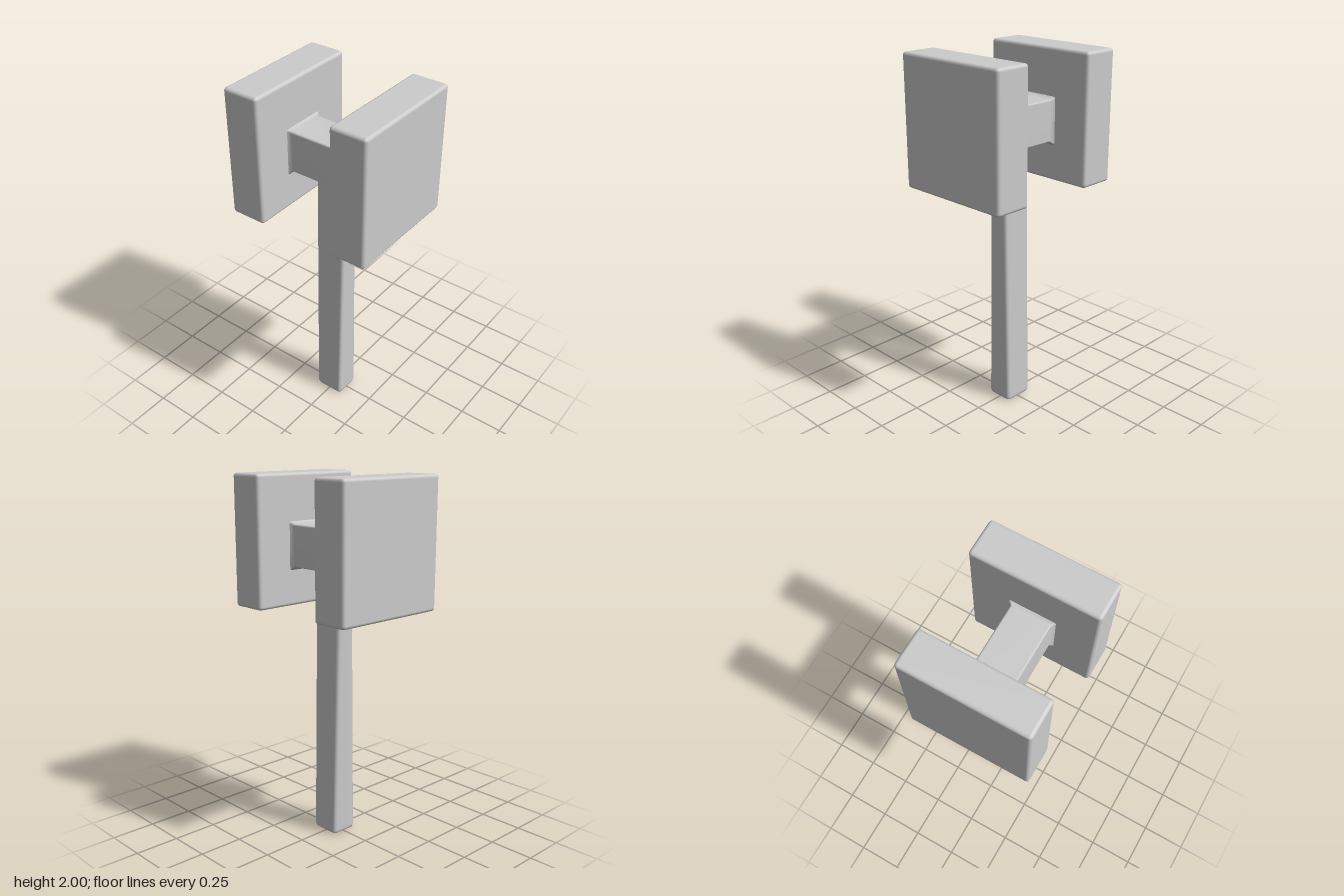
import * as THREE from 'three';
import { RoundedBoxGeometry } from 'three/addons/geometries/RoundedBoxGeometry.js';

const material = new THREE.MeshStandardMaterial({ color: 0xcccccc });

// Corner-rounded rectangle as a ring of points at height y
function ring(y, halfX, halfZ, r, steps = 2) {
  const points = [];
  for (let corner = 0; corner < 4; corner++) {
    const sx = corner === 0 || corner === 3 ? 1 : -1;
    const sz = corner < 2 ? 1 : -1;
    for (let i = 0; i <= steps; i++) {
      const a = (corner + i / steps) * Math.PI / 2;
      points.push([sx * (halfX - r) + Math.cos(a) * r, y, sz * (halfZ - r) + Math.sin(a) * r]);
    }
  }
  return points;
}

// Closed solid through sections [y, halfX, halfZ, cornerRadius], bottom to top
function loft(sections) {
  const rings = sections.map((s) => ring(...s));
  const n = rings[0].length;
  const positions = rings.flat(2);
  const index = [];
  for (let k = 0; k < rings.length - 1; k++) {
    for (let i = 0; i < n; i++) {
      const a = k * n + i, b = k * n + (i + 1) % n;
      index.push(a, a + n, b, b, a + n, b + n);
    }
  }
  const top = (rings.length - 1) * n;
  for (let i = 1; i < n - 1; i++) {
    index.push(0, i, i + 1, top, top + i + 1, top + i);
  }
  const geometry = new THREE.BufferGeometry();
  geometry.setAttribute('position', new THREE.Float32BufferAttribute(positions, 3));
  geometry.setIndex(index);
  geometry.computeVertexNormals();
  return geometry;
}

function addMesh(group, name, geometry) {
  const mesh = new THREE.Mesh(geometry, material);
  mesh.name = name;
  group.add(mesh);
  return mesh;
}

export function createModel() {
  const group = new THREE.Group();
  group.name = 'mallet';

  // Two square striking blocks
  for (const side of [1, -1]) {
    const head = addMesh(group, side > 0 ? 'frontHead' : 'backHead',
      new RoundedBoxGeometry(0.684, 0.714, 0.208, 2, 0.018));
    head.position.set(0, 1.643, side * 0.316);
  }

  // Crossbar between the blocks, flared where it meets them
  const neck = addMesh(group, 'neck', loft([
    [-0.225, 0.128, 0.131, 0.01],
    [-0.212, 0.128, 0.131, 0.01],
    [-0.197, 0.111, 0.116, 0.01],
    [0.197, 0.111, 0.116, 0.01],
    [0.212, 0.128, 0.131, 0.01],
    [0.225, 0.128, 0.131, 0.01],
  ]));
  neck.rotation.x = Math.PI / 2;
  neck.position.y = 1.614;

  // Handle, thinner from the front toward the top, with a flared joint
  addMesh(group, 'handle', loft([
    [0, 0.062, 0.07, 0.012],
    [0.006, 0.072, 0.08, 0.016],
    [0.022, 0.077, 0.085, 0.018],
    [1.47, 0.052, 0.09, 0.018],
    [1.485, 0.054, 0.092, 0.018],
    [1.5, 0.066, 0.104, 0.018],
    [1.52, 0.066, 0.104, 0.018],
  ]));

  return group;
}
